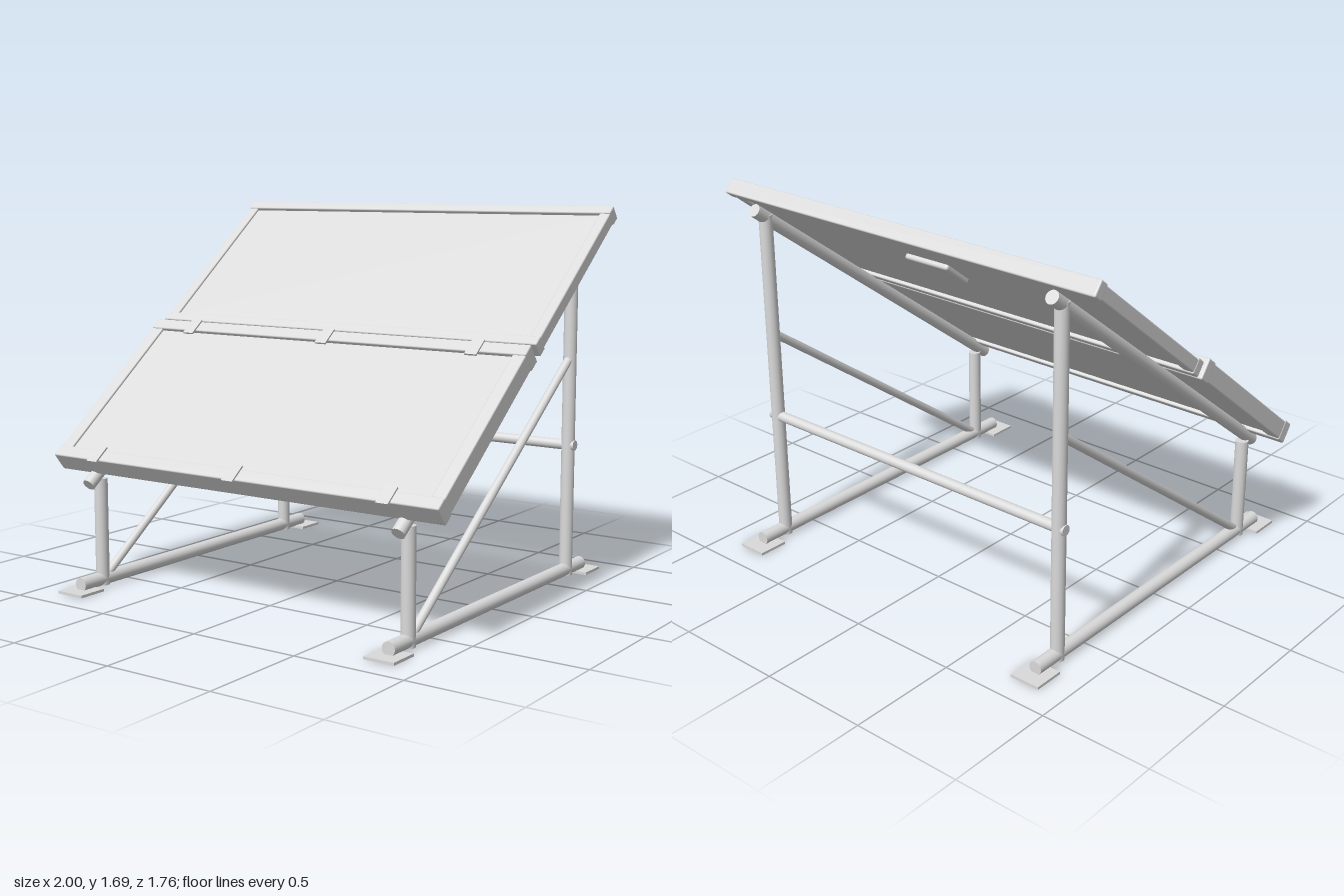
import * as THREE from 'three';
import { RoundedBoxGeometry } from 'three/addons/geometries/RoundedBoxGeometry.js';

const metal = new THREE.MeshStandardMaterial({ color: 0xdadada });
metal.name = 'light grey metal';

const TILT = Math.atan(0.778);
const LEG_X = 0.81;

function add(parent, name, geometry, pos) {
  const mesh = new THREE.Mesh(geometry, metal);
  mesh.name = name;
  mesh.position.set(...pos);
  parent.add(mesh);
  return mesh;
}

function box(parent, name, size, pos) {
  return add(parent, name, new THREE.BoxGeometry(...size), pos);
}

function roundedBox(parent, name, size, pos, radius) {
  return add(parent, name, new RoundedBoxGeometry(...size, 3, radius), pos);
}

// Round tube between two points
function tube(parent, name, from, to, radius) {
  const a = new THREE.Vector3(...from);
  const b = new THREE.Vector3(...to);
  const dir = b.clone().sub(a);
  const centre = a.clone().add(b).multiplyScalar(0.5);
  const mesh = add(parent, name,
    new THREE.CylinderGeometry(radius, radius, dir.length(), 32), centre.toArray());
  mesh.quaternion.setFromUnitVectors(new THREE.Vector3(0, 1, 0), dir.normalize());
}

// Framed panel: local y is the surface normal, local +z runs down the slope
function panel(name, centre, length, depth, beam) {
  const group = new THREE.Group();
  group.name = name;
  group.position.set(...centre);
  group.rotation.x = TILT;

  for (const s of [-1, 1]) {
    roundedBox(group, s < 0 ? 'upperEndBeam' : 'lowerEndBeam',
      [2, depth, beam], [0, 0, s * (length - beam) / 2], 0.007);
    roundedBox(group, s < 0 ? 'rightSideBeam' : 'leftSideBeam',
      [beam, depth - 0.012, length - 2 * beam + 0.02], [s * (0.998 - beam / 2), 0, 0], 0.007);
  }
  // Sheet set just below the frame surface
  box(group, 'panelSheet', [2 - 2 * beam, depth - 0.034, length - 2 * beam], [0, 0, 0]);
  return group;
}

export function createModel() {
  const model = new THREE.Group();
  model.name = 'tiltedPanelStand';

  // Two side frames, mirrored
  for (const s of [-1, 1]) {
    const x = s * LEG_X;
    const frame = new THREE.Group();
    frame.name = s < 0 ? 'rightSideFrame' : 'leftSideFrame';
    tube(frame, 'baseTube', [x, 0.035, 0.813], [x, 0.035, -0.813], 0.03);
    tube(frame, 'frontPost', [x, 0.008, 0.673], [x, 0.492, 0.673], 0.03);
    tube(frame, 'rearPost', [x, 0.008, -0.671], [x, 1.56, -0.671], 0.03);
    tube(frame, 'slopedRail', [x, 0.472, 0.749], [x, 1.592, -0.731], 0.029);
    tube(frame, 'diagonalBrace', [x, 0.038, 0.66], [x, 1.007, -0.663], 0.019);
    for (const z of [-0.812, 0.812]) {
      box(frame, 'footPlate', [0.14, 0.012, 0.14], [x, 0.006, z]);
    }
    model.add(frame);
  }
  tube(model, 'rearCrossBar', [-0.845, 0.612, -0.671], [0.845, 0.612, -0.671], 0.023);

  // Upper panel with a junction box underneath
  const upper = panel('upperPanel', [0, 1.39, -0.354], 0.892, 0.071, 0.05);
  roundedBox(upper, 'junctionBox', [0.235, 0.03, 0.165], [0, -0.026, -0.125], 0.012);
  model.add(upper);

  // Lower panel with clamps along both ends
  const lower = panel('lowerPanel', [0, 0.833, 0.386], 0.9, 0.095, 0.061);
  for (const x of [-0.757, 0, 0.757]) {
    for (const z of [-0.408, 0.42]) {
      box(lower, 'clamp', [0.057, 0.008, 0.09], [x, 0.0505, z]);
    }
  }
  model.add(lower);

  return model;
}
